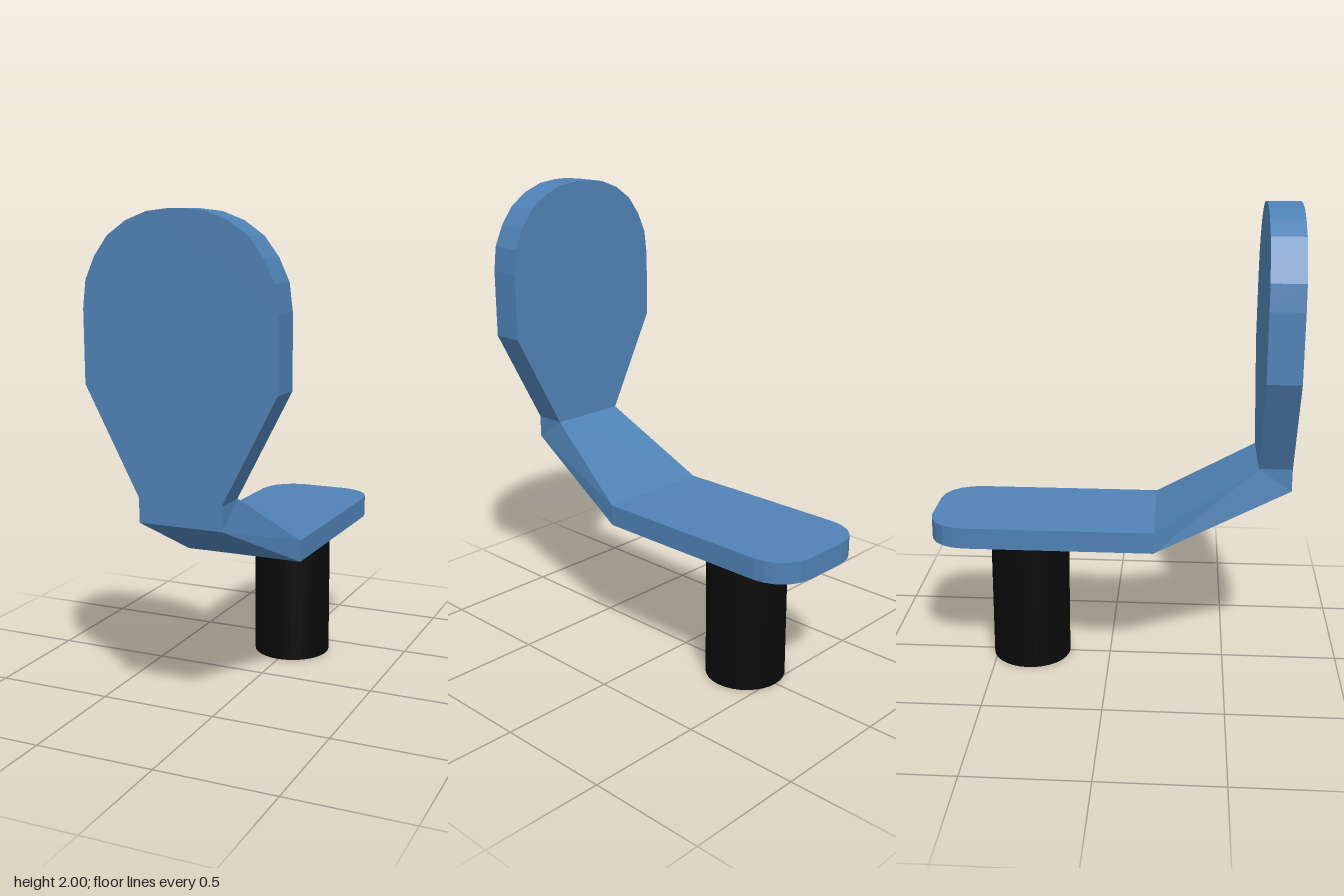
import * as THREE from 'three';

const blue = new THREE.MeshStandardMaterial({ color: 0x4f81b5, flatShading: true });
const black = new THREE.MeshStandardMaterial({ color: 0x0a0a0a });

// Plate from the right half of a symmetric outline, listed bottom to top
function plate(name, half, depth) {
  const mirrored = half.map(([x, y]) => [-x, y]).reverse();
  const shape = new THREE.Shape([...half, ...mirrored].map(([x, y]) => new THREE.Vector2(x, y)));
  const geometry = new THREE.ExtrudeGeometry(shape, { depth, bevelEnabled: false });
  const mesh = new THREE.Mesh(geometry, blue);
  mesh.name = name;
  return mesh;
}

// Skin between four-cornered sections: half width, top [y, z], bottom [y, z]
function loft(sections) {
  const rings = sections.map(([w, t, b]) => [[-w, ...t], [w, ...t], [w, ...b], [-w, ...b]]
    .map((p) => new THREE.Vector3(...p)));
  const out = [];
  const addTriangle = (a, b, c) => {
    if (new THREE.Triangle(a, b, c).getArea() > 1e-6) for (const p of [a, b, c]) out.push(p.x, p.y, p.z);
  };
  for (let s = 0; s < rings.length - 1; s++) {
    for (let i = 0; i < 4; i++) {
      const j = (i + 1) % 4, near = rings[s], far = rings[s + 1];
      addTriangle(near[i], far[i], far[j]);
      addTriangle(near[i], far[j], near[j]);
    }
  }
  const geometry = new THREE.BufferGeometry();
  geometry.setAttribute('position', new THREE.Float32BufferAttribute(out, 3));
  geometry.computeVertexNormals();
  return geometry;
}

export function createModel() {
  const group = new THREE.Group();

  // Upright rounded backrest
  const backrest = plate('backrest', [
    [0.17, 0.945], [0.388, 1.36], [0.388, 1.64], [0.375, 1.745], [0.336, 1.83],
    [0.28, 1.905], [0.203, 1.958], [0.118, 1.99], [0.032, 2],
  ], 0.137);
  backrest.position.z = 0.62;
  group.add(backrest);

  // Flat seat with two rounded corners, laid down from the drawing plane
  const seat = plate('seat', [
    [0.254, -0.195], [0.254, 0.6], [0.246, 0.645], [0.226, 0.69],
    [0.193, 0.725], [0.15, 0.748], [0.1, 0.757],
  ], 0.09);
  seat.rotation.x = -Math.PI / 2;
  seat.position.y = 0.593;
  group.add(seat);

  // Tapering neck that rises from the seat and ends in a wedge under the backrest
  const neck = new THREE.Mesh(loft([
    [0.254, [0.683, 0.195], [0.593, 0.195]],
    [0.17, [0.945, 0.62], [0.85, 0.757]],
    [0.17, [0.945, 0.62], [0.945, 0.757]],
  ]), blue);
  neck.name = 'neck';
  group.add(neck);

  // Round post under the seat
  const post = new THREE.Mesh(new THREE.CylinderGeometry(0.17, 0.17, 0.593, 32), black);
  post.name = 'post';
  post.position.set(0, 0.2965, -0.35);
  group.add(post);

  return group;
}
